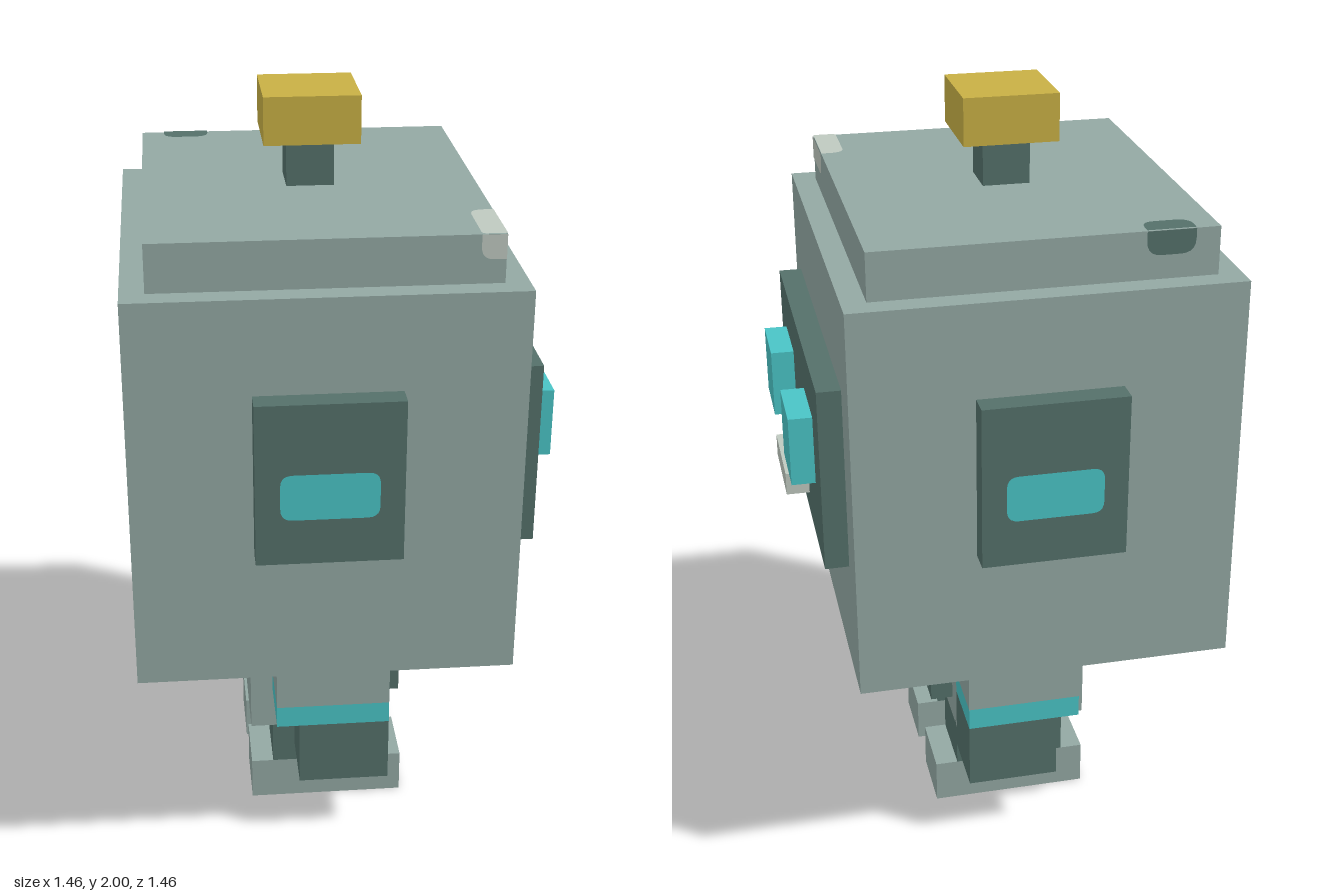
import * as THREE from 'three';

const U = 2 / 33; // one block unit; the figure is 33 blocks tall

const paint = (name, color) => {
  const m = new THREE.MeshStandardMaterial({ color });
  m.name = name;
  return m;
};

export function createModel() {
  const shell = paint('pale grey green shell', 0x93a8a3);
  const dark = paint('dark grey green', 0x54706a);
  const cyan = paint('cyan glow', 0x4ac4c6);
  const gold = paint('gold', 0xc8b045);
  const pale = paint('pale metal', 0xbfc9c0);

  const robot = new THREE.Group();
  robot.name = 'robot';

  const add = (name, geometry, material) => {
    const mesh = new THREE.Mesh(geometry, material);
    mesh.name = name;
    robot.add(mesh);
    return mesh;
  };

  // Box between two corners, in block units
  const block = (name, material, [x0, x1], [y0, y1], [z0, z1]) =>
    add(name, new THREE.BoxGeometry(x1 - x0, y1 - y0, z1 - z0), material)
      .position.set((x0 + x1) / 2, (y0 + y1) / 2, (z0 + z1) / 2);

  // Flat painted plate; radii are bottom left, bottom right, top right, top left
  const plate = (name, material, w, h, [bl, br, tr, tl], position, rotation = [0, 0, 0]) => {
    const x = w / 2, y = h / 2, s = new THREE.Shape();
    s.moveTo(-x + bl, -y);
    s.lineTo(x - br, -y);
    s.quadraticCurveTo(x, -y, x, -y + br);
    s.lineTo(x, y - tr);
    s.quadraticCurveTo(x, y, x - tr, y);
    s.lineTo(-x + tl, y);
    s.quadraticCurveTo(-x, y, -x, y - tl);
    s.lineTo(-x, -y + bl);
    s.quadraticCurveTo(-x, -y, -x + bl, -y);
    const mesh = add(name, new THREE.ShapeGeometry(s, 5), material);
    mesh.position.set(...position);
    mesh.rotation.set(...rotation);
  };

  // Span along x, mirrored for the right side
  const span = (side, a, b) => (side > 0 ? [a, b] : [-b, -a]);
  const Q = Math.PI / 2, E = 0.04;

  // Torso, neck and chest unit
  block('torso', shell, [-4, 4], [4, 9], [-3, 3]);
  block('neck', dark, [-2, 2], [9, 10], [-2, 2]);
  block('chestPanel', dark, [-3, 3], [5, 8], [3, 4]);
  block('chestLight', cyan, [-2, 2], [6, 8], [4, 5]);
  block('chestBuckle', gold, [-1, 1], [5, 6], [4, 5]);

  // Head, visor and face
  block('head', shell, [-9, 9], [10, 27], [-8, 8]);
  block('headCap', shell, [-8, 8], [27, 29], [-7, 7]);
  block('visor', dark, [-7, 7], [15, 23], [8, 9]);
  block('mouth', pale, [-2, 2], [16, 17], [9, 10]);

  // Antenna
  block('antennaStalk', dark, [-1, 1], [29, 31], [-1, 1]);
  block('antennaTip', gold, [-2, 2], [31, 33], [-2, 2]);

  for (const side of [1, -1]) {
    const label = side > 0 ? 'left' : 'right';
    block(label + 'Eye', cyan, span(side, 2, 5), [18, 21], [9, 10]);
    block(label + 'Ear', dark, span(side, 9, 10), [16, 23], [-3, 3]);
    plate(label + 'EarLight', cyan, 4, 2, [0.5, 0.5, 0.5, 0.5],
      [side * (10 + E), 19, 0], [0, side * Q, 0]);

    // Arm: shoulder, glowing band, forearm
    block(label + 'Shoulder', shell, span(side, 4, 7), [7, 9], [-2, 3]);
    block(label + 'ArmBand', cyan, span(side, 4, 7), [6, 7], [-2, 3]);
    block(label + 'Forearm', dark, span(side, 4, 7), [3, 6], [-1, 3]);

    // Leg and foot
    block(label + 'Leg', dark, span(side, 1, 4), [2, 4], [-2, 3]);
    block(label + 'Foot', shell, span(side, 1, 4), [0, 2], [-3, 4]);

    // Dark chip rounding the lower front corner of the torso
    const chip = new THREE.Shape();
    chip.moveTo(side * 4, 4);
    chip.lineTo(side * 4, 4.6);
    chip.quadraticCurveTo(side * 4, 4, side * 3.4, 4);
    add(label + 'TorsoChip', new THREE.ShapeGeometry(chip, 5), dark).position.z = 3 + E;
  }

  // Worn pale patch wrapping the front right corner of the cap
  plate('palePatchTop', pale, 3, 1, [0, 0, 0.6, 0.2], [-6.5, 29 + E, 6.5], [-Q, 0, 0]);
  plate('palePatchFront', pale, 3, 1, [0, 0.6, 0, 0], [-6.5, 28.5, 7 + E]);
  plate('palePatchSide', pale, 1, 1, [0.5, 0, 0, 0], [-8 - E, 28.5, 6.5], [0, -Q, 0]);

  // Dark patch over the rear left edge of the cap
  plate('darkPatchTop', dark, 1, 2, [0.6, 0, 0, 0.6], [7.5, 29 + E, -5], [-Q, 0, 0]);
  plate('darkPatchSide', dark, 2, 1, [0.6, 0.6, 0, 0], [8 + E, 28.5, -5], [0, Q, 0]);

  // The figure stands turned by an eighth of a circle
  robot.scale.setScalar(U);
  robot.rotation.y = Math.PI / 4;

  const model = new THREE.Group();
  model.name = 'blockRobot';
  model.add(robot);
  return model;
}
